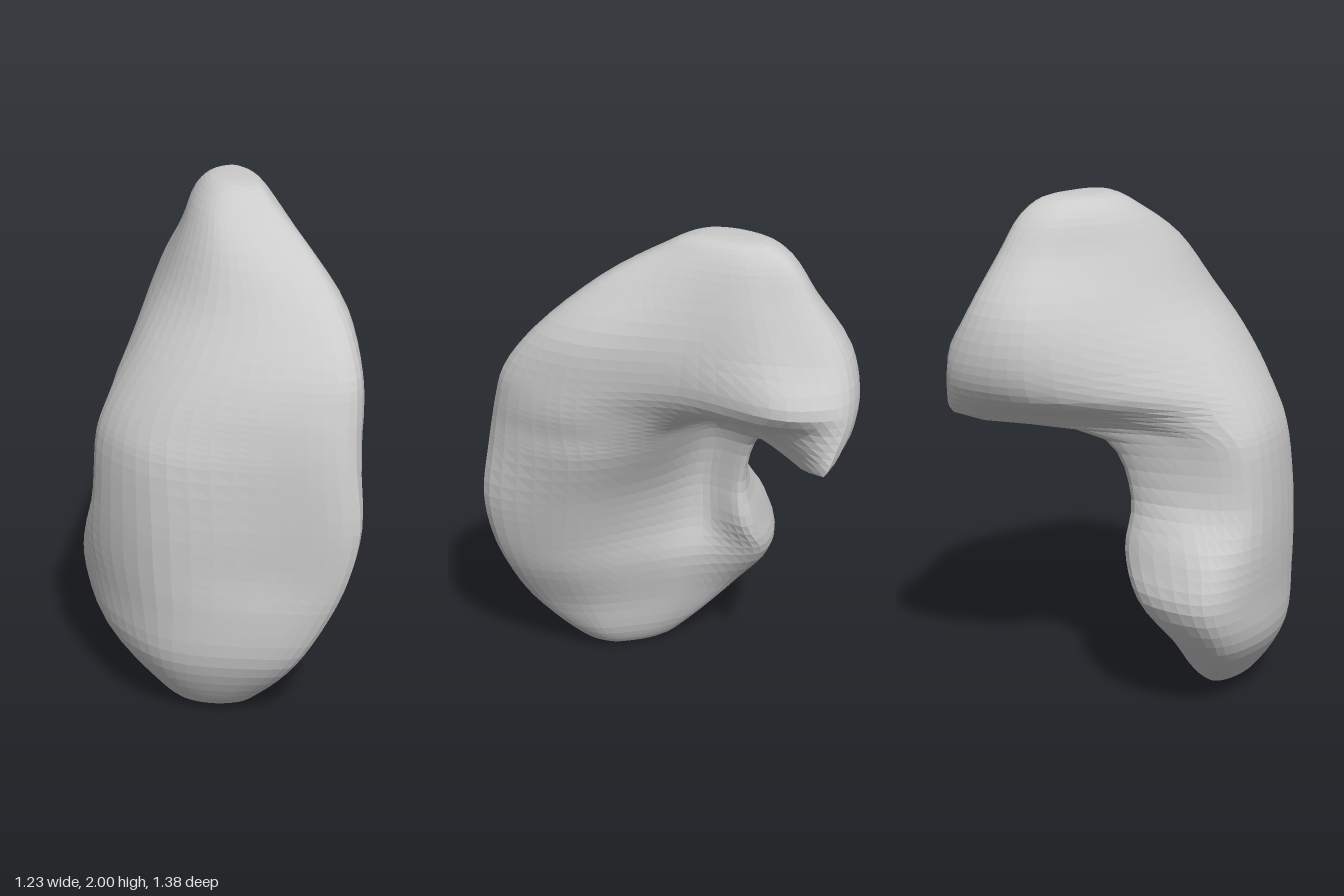
import * as THREE from 'three';

const AROUND = 54; // vertices in each ring
const STEPS = 4;   // rings between neighbouring sections

// Level sections: height, then nine [x, z] points running
// front, outer front, outer, outer back, back, inner back, hollow, inner, inner front.
const lowerLobe = [
  [0.09, [-.30, .32], [-.42, .24], [-.51, .06], [-.47, -.12], [-.36, -.23], [-.27, -.17], [-.23, -.08], [-.21, .05], [-.22, .22]],
  [0.27, [-.29, .49], [-.45, .35], [-.60, .07], [-.56, -.24], [-.42, -.43], [-.25, -.37], [-.19, -.17], [-.17, .03], [-.18, .31]],
  [0.48, [-.23, .60], [-.40, .44], [-.615, .07], [-.55, -.34], [-.39, -.555], [-.11, -.45], [-.14, -.20], [-.12, .04], [-.10, .38]],
  [0.65, [-.19, .66], [-.37, .46], [-.62, .06], [-.535, -.39], [-.37, -.52], [-.04, -.37], [-.16, -.21], [-.11, .04], [-.05, .38]],
  [0.85, [-.16, .69], [-.36, .47], [-.615, .05], [-.53, -.36], [-.30, -.41], [-.06, -.35], [-.16, -.21], [-.06, .04], [.01, .38]],
];
const upperLobe = [
  [1.09, [-.15, .66], [-.36, .45], [-.59, .02], [-.51, -.35], [-.25, -.41], [.03, -.39], [-.09, -.23], [.06, .03], [.09, .38]],
  [1.19, [-.14, .645], [-.35, .44], [-.555, .00], [-.47, -.34], [.14, -.50], [.59, -.50], [.01, -.24], [.12, .04], [.10, .40]],
  [1.29, [-.12, .63], [-.33, .43], [-.505, .00], [-.42, -.32], [.24, -.65], [.60, -.54], [.30, -.25], [.19, .03], [.12, .41]],
  [1.42, [-.09, .60], [-.28, .41], [-.42, .03], [-.35, -.28], [.25, -.69], [.57, -.59], [.57, -.36], [.28, -.01], [.13, .40]],
  [1.60, [-.03, .48], [-.18, .34], [-.29, .02], [-.20, -.29], [.25, -.66], [.49, -.59], [.48, -.34], [.30, -.03], [.15, .34]],
  [1.80, [.04, .25], [-.10, .15], [-.17, -.04], [-.08, -.29], [.24, -.53], [.40, -.49], [.39, -.30], [.28, -.08], [.16, .13]],
  [1.93, [.08, .03], [.00, -.03], [-.05, -.14], [.01, -.30], [.20, -.45], [.34, -.42], [.33, -.28], [.25, -.13], [.16, -.02]],
];

// Closed smooth outline of one section
function outline([y, ...points]) {
  const curve = new THREE.CatmullRomCurve3(points.map(([x, z]) => new THREE.Vector3(x, y, z)), true);
  return curve.getPoints(AROUND).slice(0, AROUND);
}

// Blunt end: a shrunken ring close to the height of the pole
function endRing(ring, pole, scale) {
  return ring.map((p) => {
    const q = pole.clone().lerp(p, scale);
    q.y = pole.y + (p.y - pole.y) * scale * 0.3;
    return q;
  });
}

// Skin the sections with smooth curves running from pole to pole
function loft(sections, bottom, top) {
  const rings = sections.map(outline);
  const all = [
    rings[0].map(() => bottom),
    endRing(rings[0], bottom, 0.6),
    ...rings,
    endRing(rings[rings.length - 1], top, 0.62),
    rings[0].map(() => top),
  ];
  const rows = (all.length - 1) * STEPS;
  const columns = rings[0].map((_, j) => new THREE.CatmullRomCurve3(all.map((ring) => ring[j])).getPoints(rows));

  const positions = [];
  const index = [];
  for (let i = 0; i <= rows; i++) {
    for (let j = 0; j < AROUND; j++) positions.push(...columns[j][i].toArray());
  }
  for (let i = 0; i < rows; i++) {
    for (let j = 0; j < AROUND; j++) {
      const a = i * AROUND + j;
      const b = i * AROUND + (j + 1) % AROUND;
      const c = a + AROUND;
      const d = b + AROUND;
      if (i < rows - 1) index.push(a, c, d);
      if (i > 0) index.push(a, d, b);
    }
  }
  const geometry = new THREE.BufferGeometry();
  geometry.setAttribute('position', new THREE.Float32BufferAttribute(positions, 3));
  geometry.setIndex(index);
  geometry.computeVertexNormals();
  return geometry;
}

export function createModel() {
  const group = new THREE.Group();
  group.name = 'curvedOrgan';

  // One continuous bean-shaped body with a hollow under its overhanging upper lobe
  const body = new THREE.Mesh(
    loft([...lowerLobe, ...upperLobe], new THREE.Vector3(-0.33, 0, 0.07), new THREE.Vector3(0.18, 2, -0.25)),
    new THREE.MeshStandardMaterial({ color: 0xcccccc, flatShading: true }),
  );
  body.name = 'organBody';
  group.add(body);
  return group;
}
